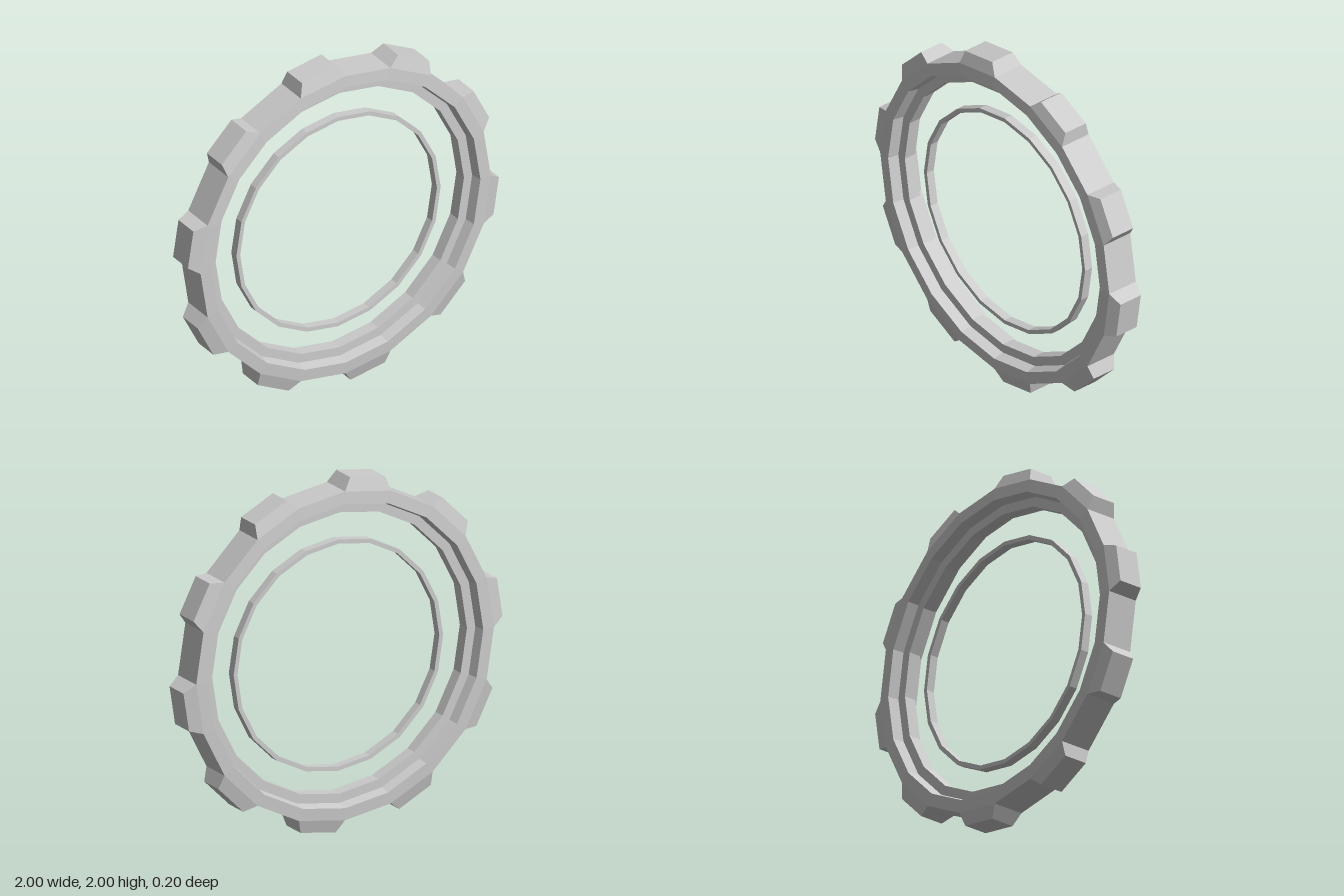
import * as THREE from 'three';

const SIDES = 20;
const TEETH = 10;

const material = new THREE.MeshStandardMaterial({ color: 0xcccccc, flatShading: true });

// Closed faceted ring around z; profile holds [radius, z] pairs, counterclockwise
function ring(name, profile, y) {
  const points = [...profile, profile[0]].map(([r, z]) => new THREE.Vector2(r, z));
  const geometry = new THREE.LatheGeometry(points, SIDES).rotateX(Math.PI / 2);
  const mesh = new THREE.Mesh(geometry, material);
  mesh.name = name;
  mesh.position.y = y;
  return mesh;
}

// Box tapered towards its outer end in width and depth
function toothGeometry() {
  const rootAngle = Math.PI / SIDES;
  const tipAngle = THREE.MathUtils.degToRad(6.4);
  const root = { r: 0.935, a: rootAngle, z: 0.095 };
  const tip = { r: 1.003, a: tipAngle, z: 0.073 };
  const geometry = new THREE.BoxGeometry(2, 2, 2);
  const p = geometry.attributes.position;
  for (let i = 0; i < p.count; i++) {
    const end = p.getY(i) > 0 ? tip : root;
    p.setXYZ(i,
      p.getX(i) * end.r * Math.sin(end.a),
      end.r * Math.cos(end.a),
      p.getZ(i) * end.z);
  }
  geometry.computeVertexNormals();
  return geometry;
}

export function createModel() {
  const model = new THREE.Group();
  model.name = 'toothedRing';

  // Outer rim with a stepped inner flange
  model.add(ring('rim', [
    [0.935, -0.095], [0.935, 0.095],
    [0.865, 0.1], [0.853, 0.037],
    [0.8, 0.037], [0.8, -0.037],
    [0.853, -0.037], [0.865, -0.1],
  ], 1));

  // Teeth on every other side of the rim
  const teeth = new THREE.Group();
  teeth.name = 'teeth';
  teeth.position.y = 1;
  const geometry = toothGeometry();
  for (let i = 0; i < TEETH; i++) {
    const tooth = new THREE.Mesh(geometry, material);
    tooth.name = 'tooth';
    tooth.rotation.z = Math.PI / SIDES + (i * 2 * Math.PI) / TEETH;
    teeth.add(tooth);
  }
  model.add(teeth);

  // Thin free-floating inner band
  model.add(ring('innerBand', [
    [0.658, -0.025], [0.658, 0.025], [0.634, 0.025], [0.634, -0.025],
  ], 0.984));

  return model;
}
